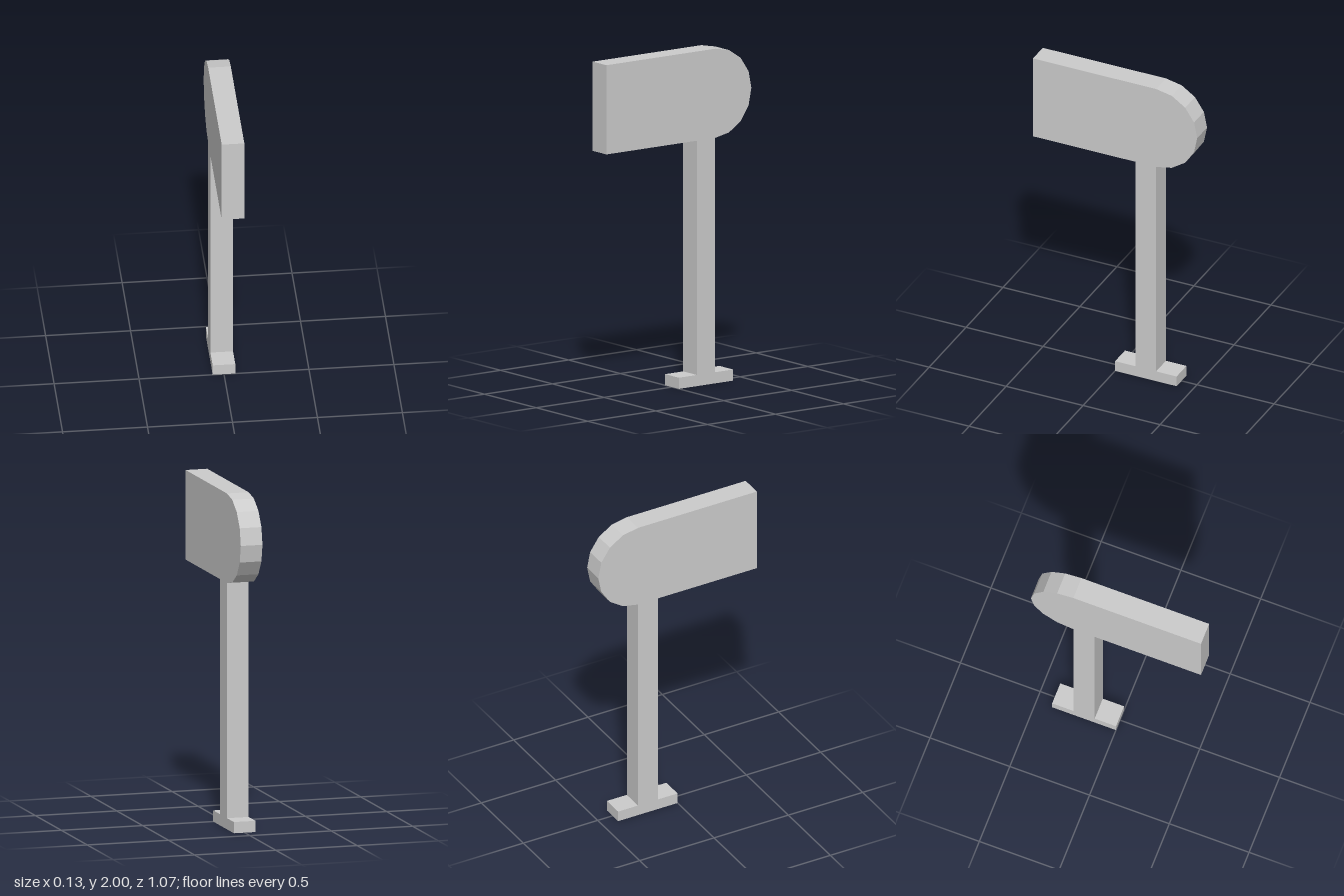
import * as THREE from 'three';

const U = 2 / 30; // modular unit: every size is a multiple of it
const WIDTH = 2 * U;

export function createModel() {
  const group = new THREE.Group();
  const material = new THREE.MeshStandardMaterial({ color: 0xcccccc, flatShading: true });

  const add = (name, geometry) => {
    const mesh = new THREE.Mesh(geometry, material);
    mesh.name = name;
    group.add(mesh);
    return mesh;
  };

  // Foot plate and upright post, both centred under the back of the head
  const axisZ = -3 * U;
  add('foot', new THREE.BoxGeometry(WIDTH, U, 6 * U)).position.set(0, U / 2, axisZ);
  add('post', new THREE.BoxGeometry(WIDTH, 21 * U, 2 * U)).position.set(0, 11.5 * U, axisZ);

  // Head: square at the front, faceted half circle at the back
  const radius = 4 * U;
  const profile = new THREE.Shape();
  profile.moveTo(-8 * U, -radius);
  profile.lineTo(4 * U, -radius);
  profile.absarc(4 * U, 0, radius, -Math.PI / 2, Math.PI / 2, false);
  profile.lineTo(-8 * U, radius);
  profile.closePath();
  const head = new THREE.ExtrudeGeometry(profile, { depth: WIDTH, bevelEnabled: false, curveSegments: 4 });
  head.translate(0, 0, -WIDTH / 2).rotateY(Math.PI / 2);
  add('head', head).position.y = 26 * U;

  return group;
}
